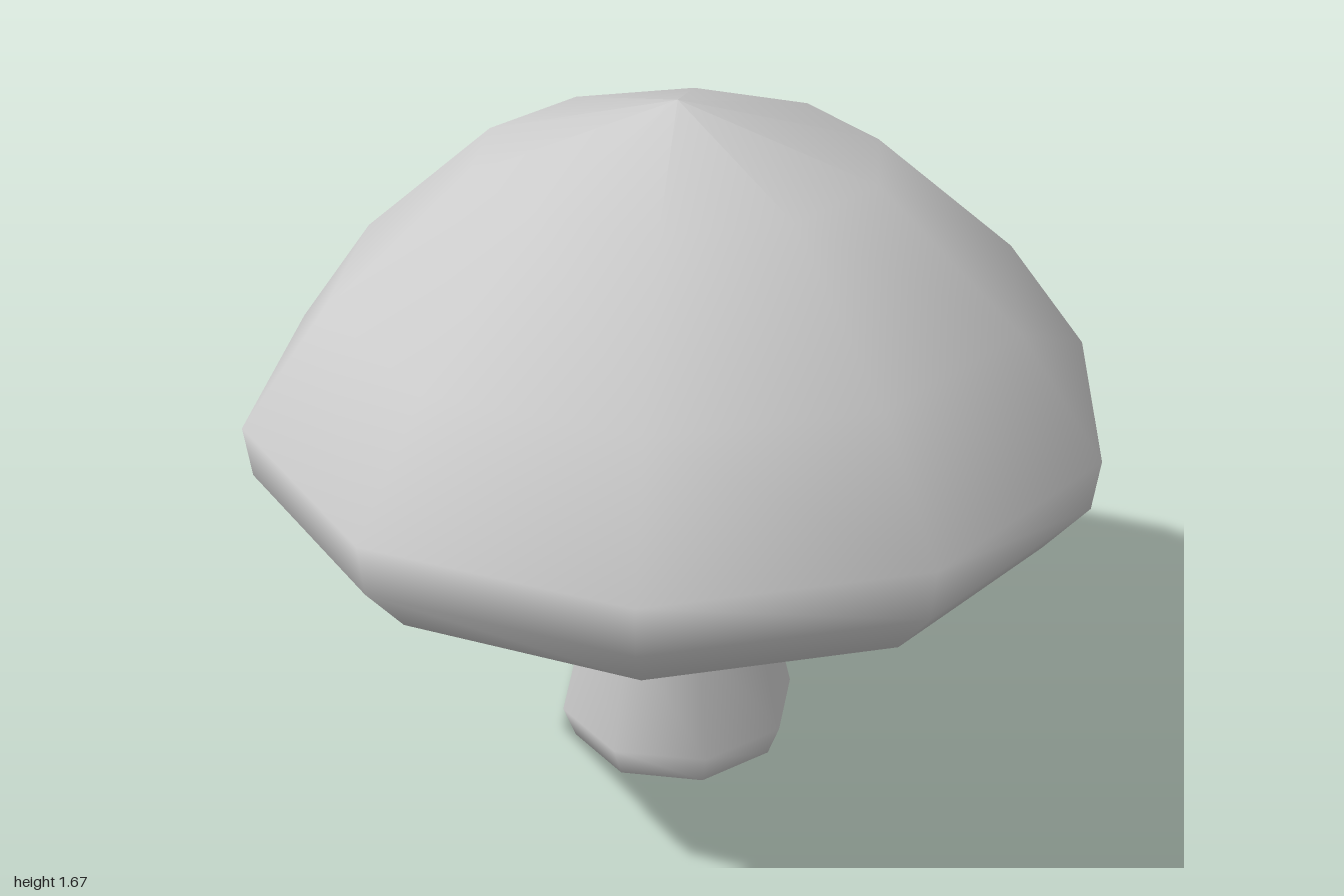
import * as THREE from 'three';

// Smooth-shaded lathe with a corner on the +x axis; profile runs bottom to top as [radius, y]
function turned(name, profile, sides, material) {
  const points = profile.map(([r, y]) => new THREE.Vector2(r, y));
  const mesh = new THREE.Mesh(new THREE.LatheGeometry(points, sides, Math.PI / 2), material);
  mesh.name = name;
  return mesh;
}

export function createModel() {
  const group = new THREE.Group();
  group.name = 'mushroom';
  const solid = new THREE.MeshStandardMaterial({ color: 0xcccccc });
  const open = new THREE.MeshStandardMaterial({ color: 0xcccccc, side: THREE.DoubleSide });

  // Ten-sided cap with a nearly flat underside and a low peak
  group.add(turned('cap', [
    [0, 0.73], [0.68, 0.73], [0.885, 0.74], [0.985, 0.86],
    [1, 0.98], [0.8, 1.25], [0.465, 1.54], [0, 1.67],
  ], 10, solid));

  // Eight-sided stem, open at the foot and flared where it meets the cap
  group.add(turned('stem', [
    [0.18, 0], [0.26, 0.04], [0.29, 0.12], [0.223, 0.41], [0.223, 0.62], [0.25, 0.735],
  ], 8, open));

  return group;
}
